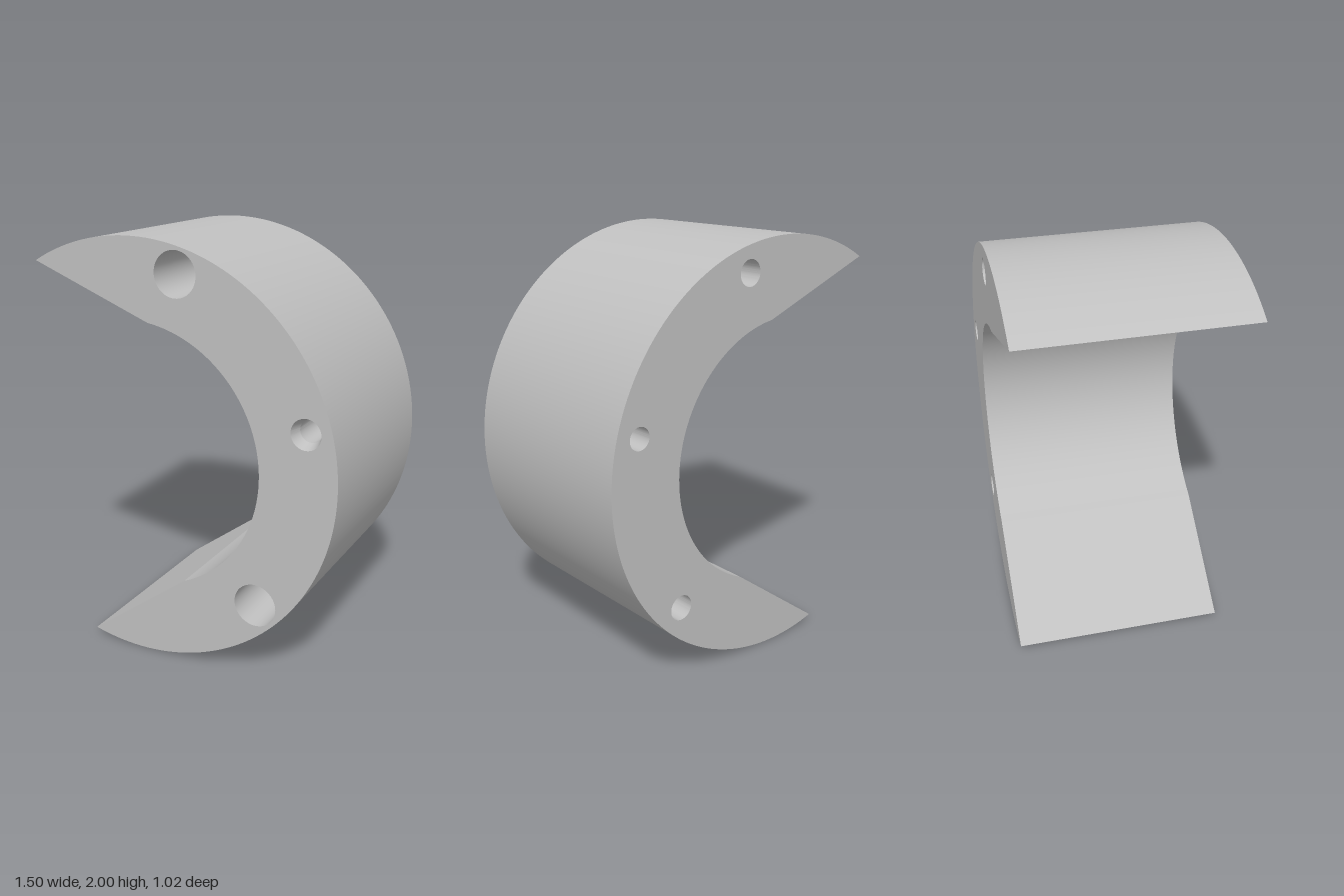
import * as THREE from 'three';
import { toCreasedNormals } from 'three/addons/utils/BufferGeometryUtils.js';

const CX = -0.25, CY = 1, HALF = 0.508, SIDES = 48;

// Points along an arc, angles in degrees
function arc(cx, cy, r, from, to, n) {
  return Array.from({ length: n + 1 }, (_, i) => {
    const a = THREE.MathUtils.degToRad(from + (to - from) * i / n);
    return new THREE.Vector2(cx + r * Math.cos(a), cy + r * Math.sin(a));
  });
}

// Wall running front to back along a counter-clockwise path
function wall(points) {
  const position = [], index = [];
  points.forEach((p, i) => {
    position.push(p.x, p.y, -HALF, p.x, p.y, HALF);
    if (i) {
      const a = 2 * i - 2;
      index.push(a, a + 2, a + 3, a, a + 3, a + 1);
    }
  });
  const g = new THREE.BufferGeometry();
  g.setAttribute('position', new THREE.Float32BufferAttribute(position, 3));
  g.setIndex(index);
  g.computeVertexNormals();
  return g;
}

export function createModel() {
  const group = new THREE.Group();
  const steel = new THREE.MeshStandardMaterial({ color: 0xc0c0c0 });
  steel.name = 'steel grey';
  const add = (name, geometry) => {
    const mesh = new THREE.Mesh(geometry, steel);
    mesh.name = name;
    group.add(mesh);
    return mesh;
  };

  // Crescent outline
  const outer = arc(CX, CY, 1, -105.4, 120.3, 120);
  const inner = arc(CX, CY, 0.635, 81.9, -66.7, 80);
  add('outerWall', wall(outer));
  add('upperFlat', wall([outer.at(-1), inner[0]]));
  add('innerWall', wall(inner));
  add('lowerFlat', wall([inner.at(-1), outer[0]]));

  // Holes: front radius, back radius, depth where the step or taper starts and ends
  const holes = [
    { name: 'upperBoltHole', x: -0.02, y: 1.85, front: 0.103, back: 0.06, start: 0.5, end: 0.5 },
    { name: 'middleHole', x: 0.6, y: 1.23, front: 0.07, back: 0.052, start: 0, end: 0.06 },
    { name: 'lowerBoltHole', x: 0.37, y: 0.38, front: 0.103, back: 0.06, start: 0.5, end: 0.5 },
  ];
  for (const h of holes) {
    const profile = [[h.back, HALF - h.end], [h.back, -HALF]];
    if (h.start > 0) profile.unshift([h.front, HALF - h.start]);
    profile.unshift([h.front, HALF]);
    const lathe = new THREE.LatheGeometry(profile.map(p => new THREE.Vector2(...p)), SIDES);
    lathe.rotateX(Math.PI / 2);
    add(h.name, toCreasedNormals(lathe, 0.25)).position.set(h.x, h.y, 0);
  }

  // Flat end faces
  const face = (side) => {
    const shape = new THREE.Shape([...outer, ...inner]);
    for (const h of holes) shape.holes.push(new THREE.Path(arc(h.x, h.y, h[side], 0, 360, SIDES)));
    return new THREE.ShapeGeometry(shape);
  };
  add('frontFace', face('front')).position.z = HALF;

  // Back face is flipped to look toward -z
  const back = face('back');
  const idx = back.index.array;
  for (let i = 0; i < idx.length; i += 3) [idx[i], idx[i + 1]] = [idx[i + 1], idx[i]];
  back.computeVertexNormals();
  add('backFace', back).position.z = -HALF;

  return group;
}
